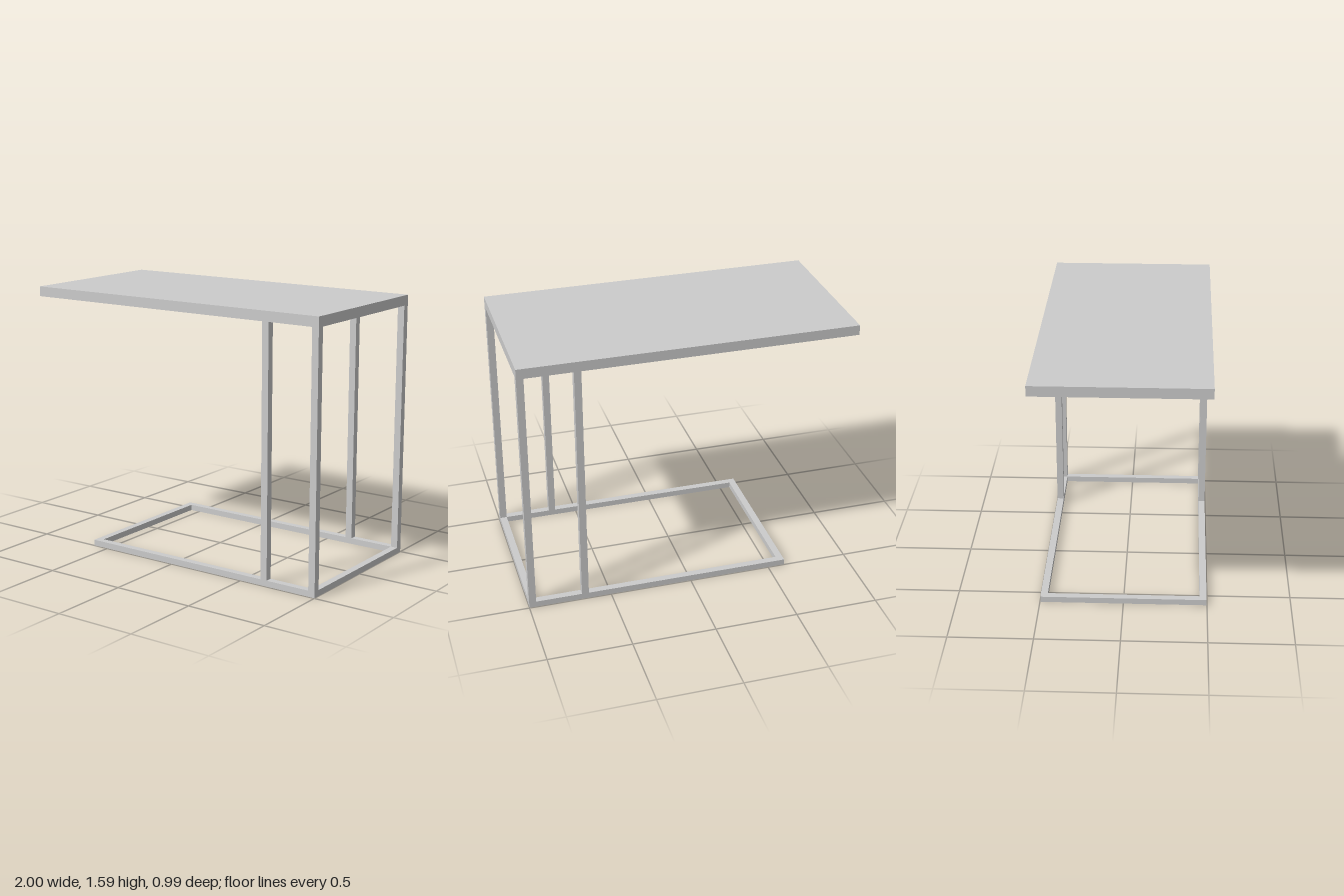
import * as THREE from 'three';

const HALF_X = 1, HALF_Z = 0.497;   // tabletop half extents
const HEIGHT = 1.585, TOP = 0.06;   // overall height, tabletop thickness
const BASE = 0.036, BAR = 0.042;    // base height, bar width
const BASE_END = -0.605;            // free end of the base frame

export function createModel() {
  const group = new THREE.Group();
  group.name = 'sideTable';
  const material = new THREE.MeshStandardMaterial({ color: 0xcccccc });

  const add = (name, geometry) => {
    const mesh = new THREE.Mesh(geometry, material);
    mesh.name = name;
    group.add(mesh);
    return mesh;
  };

  // Cantilevered tabletop
  add('tabletop', new THREE.BoxGeometry(2 * HALF_X, TOP, 2 * HALF_Z))
    .position.y = HEIGHT - TOP / 2;

  // Open rectangular floor frame
  const rectangle = (path, x0, x1, z) => path
    .moveTo(x0, -z).lineTo(x1, -z).lineTo(x1, z).lineTo(x0, z).closePath();
  const outline = rectangle(new THREE.Shape(), BASE_END, HALF_X, HALF_Z);
  outline.holes.push(rectangle(new THREE.Path(), BASE_END + BAR, HALF_X - BAR, HALF_Z - BAR));
  const frame = new THREE.ExtrudeGeometry(outline, { depth: BASE, bevelEnabled: false });
  frame.rotateX(-Math.PI / 2);
  add('baseFrame', frame);

  // Corner and inner uprights, mirrored front to back
  const legHeight = HEIGHT - TOP - BASE;
  for (const [name, x] of [['cornerLeg', HALF_X - BAR / 2], ['innerLeg', 0.658]]) {
    for (const side of [1, -1]) {
      add(name + (side > 0 ? 'Front' : 'Back'), new THREE.BoxGeometry(BAR, legHeight, BAR))
        .position.set(x, BASE + legHeight / 2, side * (HALF_Z - BAR / 2));
    }
  }
  return group;
}
